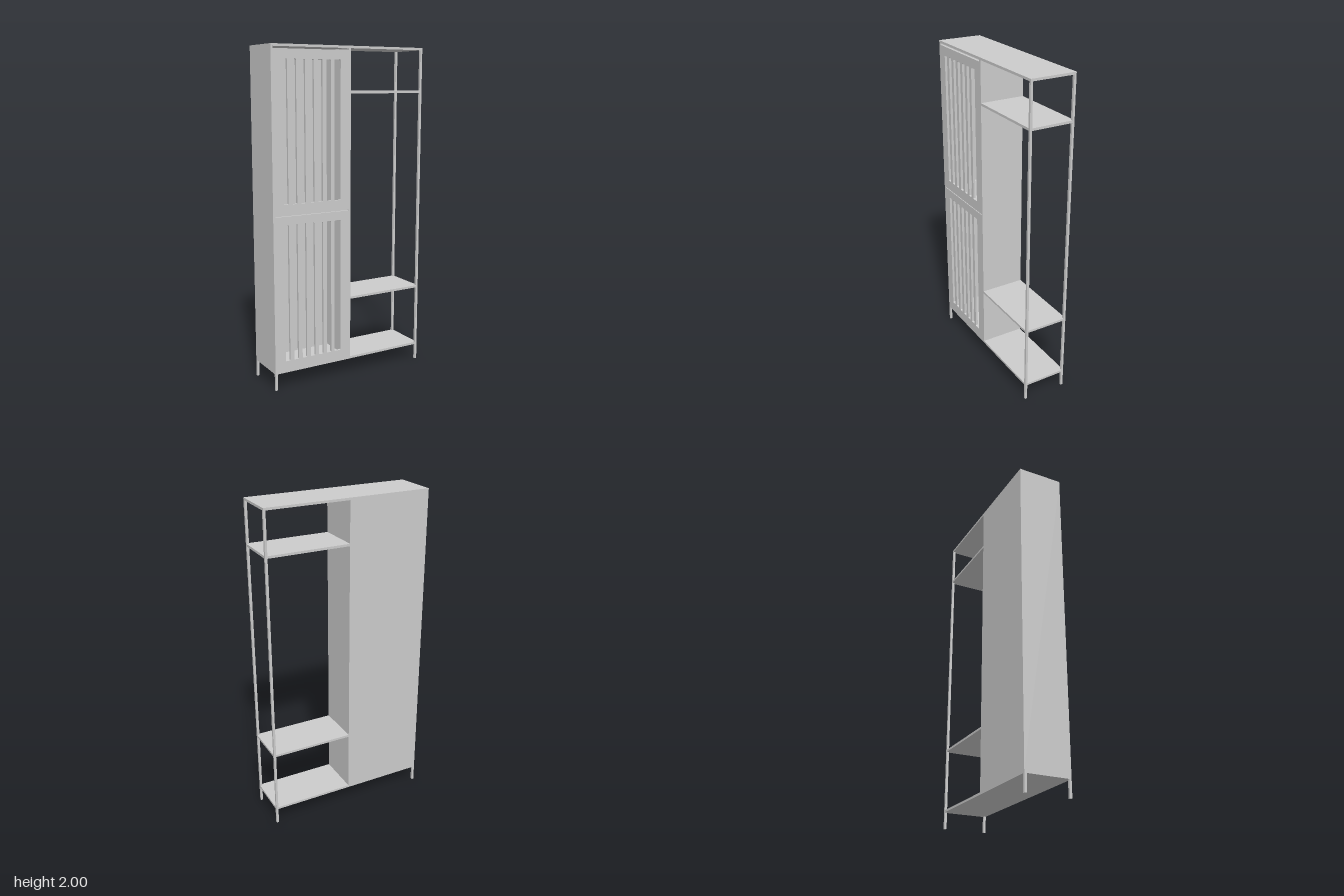
import * as THREE from 'three';

const W = 0.512, D = 0.139;      // half width, half depth
const T = 0.014;                 // board and post thickness
const BASE = 0.1, TOP = 2;
const material = new THREE.MeshStandardMaterial({ color: 0xcccccc });

// Slots as [left edge, width]
const SLOTS = [-0.444, -0.388, -0.332, -0.276, -0.22, -0.165, -0.111].map((x, i) => [x, i === 6 ? 0.042 : 0.03]);

// Box given by its two opposite corners
function box(parent, name, x0, x1, y0, y1, z0, z1) {
  const mesh = new THREE.Mesh(new THREE.BoxGeometry(x1 - x0, y1 - y0, z1 - z0), material);
  mesh.position.set((x0 + x1) / 2, (y0 + y1) / 2, (z0 + z1) / 2);
  mesh.name = name;
  parent.add(mesh);
}

function rectangle(path, x0, x1, y0, y1) {
  path.moveTo(x0, y0).lineTo(x1, y0).lineTo(x1, y1).lineTo(x0, y1).closePath();
  return path;
}

// Slot outline with slightly rounded corners
function slotPath(x0, x1, y0, y1, r = 0.005) {
  const p = new THREE.Path();
  p.absarc(x1 - r, y1 - r, r, 0, Math.PI / 2);
  p.absarc(x0 + r, y1 - r, r, Math.PI / 2, Math.PI);
  p.absarc(x0 + r, y0 + r, r, Math.PI, Math.PI * 1.5);
  p.absarc(x1 - r, y0 + r, r, Math.PI * 1.5, Math.PI * 2);
  p.closePath();
  return p;
}

// Slatted door, flush with the cabinet front
function door(parent, name, y0, y1, slotBottom, slotTop) {
  const shape = rectangle(new THREE.Shape(), -W + T, -T, y0, y1);
  for (const [x, w] of SLOTS) shape.holes.push(slotPath(x, x + w, slotBottom, slotTop));
  const geometry = new THREE.ExtrudeGeometry(shape, { depth: T, bevelEnabled: false, curveSegments: 3 });
  const mesh = new THREE.Mesh(geometry, material);
  mesh.position.z = D - T;
  mesh.name = name;
  parent.add(mesh);
}

export function createModel() {
  const model = new THREE.Group();
  model.name = 'wardrobe';

  // Full-width boards
  box(model, 'bottomBoard', -W, W, BASE, BASE + T, -D, D);
  box(model, 'topBoard', -W, W, TOP - T, TOP, -D, D);

  // Closed cabinet
  const cabinet = new THREE.Group();
  cabinet.name = 'cabinet';
  model.add(cabinet);
  const low = BASE + T, high = TOP - T;
  box(cabinet, 'outerSide', -W, -W + T, low, high, -D, D);
  box(cabinet, 'innerSide', -T, 0, low, high, -D, D);
  box(cabinet, 'backPanel', -W + T, -T, low, high, -D, -D + T);
  box(cabinet, 'middleShelf', -W + T, -T, 1.031, 1.045, -D + T, D - T);
  door(cabinet, 'lowerDoor', low, 1.037, 0.17, 0.985);
  door(cabinet, 'upperDoor', 1.042, 1.975, 1.105, 1.92);

  // Open shelves, notched around the end posts
  for (const y of [0.485, 1.728]) {
    box(model, 'openShelf', 0, W - T, y, y + T, -D, D);
    box(model, 'shelfEnd', W - T, W, y, y + T, -D + T, D - T);
  }

  // Legs and end posts
  for (const z of [-D, D - T]) {
    box(model, 'cabinetLeg', -W, -W + T, 0, BASE, z, z + T);
    box(model, 'shelfLeg', W - T, W, 0, BASE, z, z + T);
    box(model, 'endPost', W - T, W, low, high, z, z + T);
  }
  return model;
}
